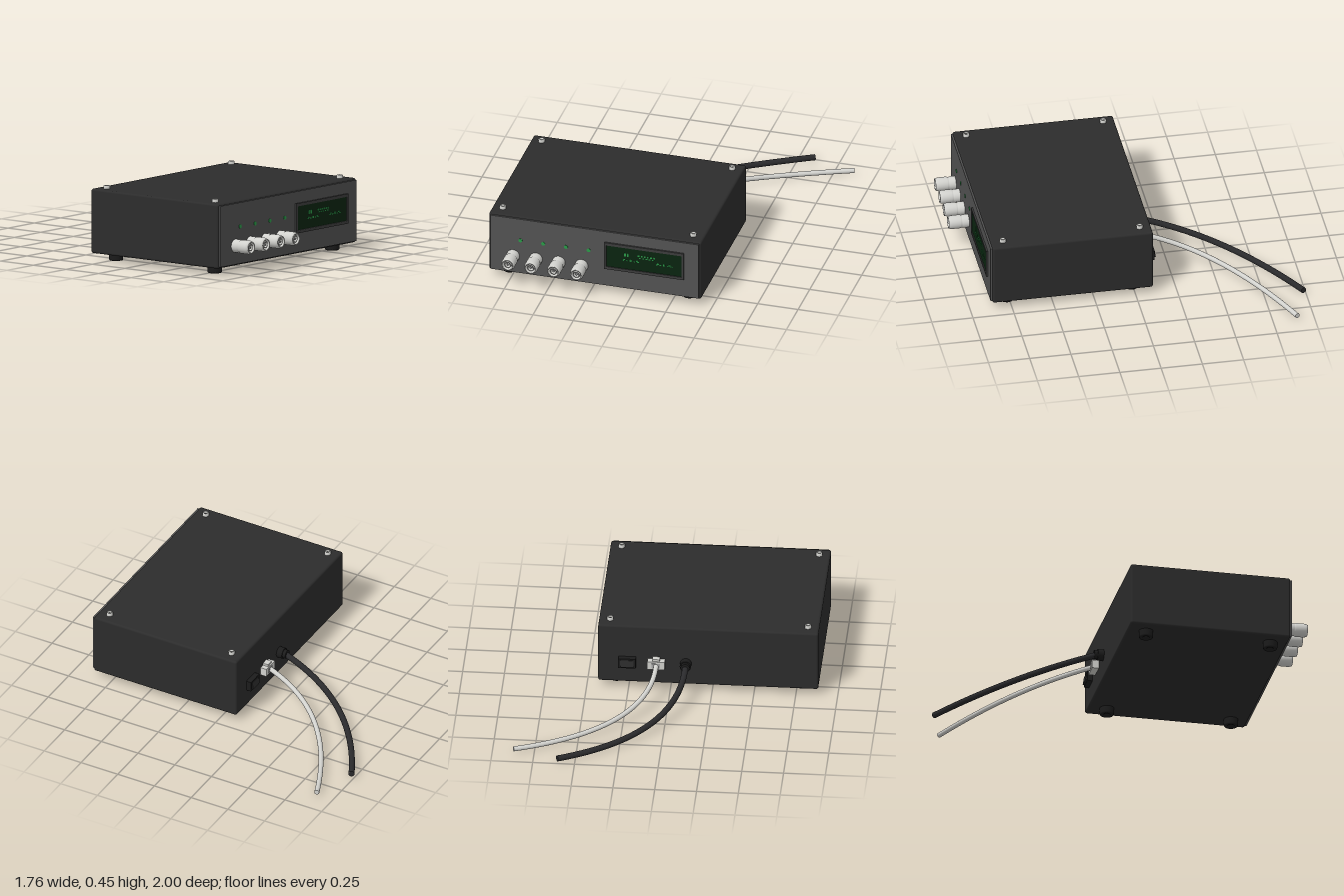
import * as THREE from 'three';
import { RoundedBoxGeometry } from 'three/addons/geometries/RoundedBoxGeometry.js';

const mat = (name, color, side = THREE.FrontSide) => {
  const m = new THREE.MeshStandardMaterial({ color, side });
  m.name = name;
  return m;
};

export function createModel() {
  const model = new THREE.Group();
  const caseDark = mat('caseDark', 0x2c2c2c);
  const panelGrey = mat('panelGrey', 0x525252);
  const bezelGrey = mat('bezelGrey', 0x3c3c3c);
  const rubber = mat('rubberBlack', 0x1c1c1c);
  const cableBlack = mat('cableBlack', 0x2a2a2c);
  const paleGrey = mat('paleGrey', 0xd2d2ce, THREE.DoubleSide);
  const metal = mat('metal', 0xa8a8a8, THREE.DoubleSide);
  const screenGreen = mat('screenGreen', 0x0a2410);
  const litGreen = mat('litGreen', 0x2a9a48);

  const add = (name, geo, material, x = 0, y = 0, z = 0, parent = model) => {
    const m = new THREE.Mesh(geo, material);
    m.name = name;
    m.position.set(x, y, z);
    parent.add(m);
    return m;
  };
  const box = (name, w, h, d, material, x, y, z, parent) =>
    add(name, new THREE.BoxGeometry(w, h, d), material, x, y, z, parent);
  // Lathe turned so that its axis points along +z
  const turned = (points, segments = 28) =>
    new THREE.LatheGeometry(points.map(p => new THREE.Vector2(p[0], p[1])), segments).rotateX(Math.PI / 2);
  const rod = (r, len, segments = 24) =>
    new THREE.CylinderGeometry(r, r, len, segments).rotateX(Math.PI / 2);

  // Case and front panel
  add('case', new RoundedBoxGeometry(1.316, 0.388, 0.972, 3, 0.013), caseDark, -0.226, 0.237, 0.381);
  box('frontPanel', 1.288, 0.368, 0.016, panelGrey, -0.226, 0.237, 0.870);

  // Display: frame with a recessed screen
  const frame = new THREE.Shape();
  frame.moveTo(-0.246, -0.09).lineTo(0.246, -0.09).lineTo(0.246, 0.09).lineTo(-0.246, 0.09).closePath();
  const opening = new THREE.Path();
  opening.moveTo(-0.233, -0.072).lineTo(-0.233, 0.072).lineTo(0.233, 0.072).lineTo(0.233, -0.072).closePath();
  frame.holes.push(opening);
  add('displayFrame', new THREE.ExtrudeGeometry(frame, { depth: 0.012, bevelEnabled: false }),
    bezelGrey, 0.083, 0.26, 0.876);
  box('screen', 0.466, 0.144, 0.006, screenGreen, 0.083, 0.26, 0.880);

  // Lit dots on the screen: two broken rows [start x, y, count, step, height]
  const dots = [
    [-0.035, 0.284, 2, 0.017, 0.022], [0.05, 0.288, 6, 0.019, 0.01], [0.058, 0.274, 5, 0.02, 0.006],
    [-0.046, 0.246, 5, 0.023, 0.006], [-0.04, 0.252, 3, 0.04, 0.008],
    [0.162, 0.246, 5, 0.023, 0.006], [0.17, 0.253, 3, 0.036, 0.008],
  ];
  for (const [x, y, n, step, h] of dots)
    for (let i = 0; i < n; i++) box('screenDot', 0.011, h, 0.002, litGreen, x + i * step, y, 0.884);

  // Four turned connectors, each with an indicator lamp above
  const shell = turned([
    [0.040, 0], [0.040, 0.035], [0.037, 0.038], [0.037, 0.046], [0.041, 0.05], [0.041, 0.105],
    [0.036, 0.122], [0.029, 0.122], [0.029, 0.085], [0, 0.085],
  ]);
  const sleeve = turned([[0.021, 0.084], [0.021, 0.116], [0.015, 0.116], [0.015, 0.084]]);
  for (let i = 0; i < 4; i++) {
    const x = -0.73 + i * 0.1415;
    const connector = new THREE.Group();
    connector.name = 'connector';
    connector.position.set(x, 0.166, 0.878);
    model.add(connector);
    add('connectorShell', shell, paleGrey, 0, 0, 0, connector);
    add('connectorSleeve', sleeve, paleGrey, 0, 0, 0, connector);
    add('connectorFloor', new THREE.CircleGeometry(0.029, 24), metal, 0, 0, 0.086, connector);
    add('connectorPin', rod(0.006, 0.03, 12), metal, 0, 0, 0.1, connector);
    add('indicatorLamp', rod(0.012, 0.01, 16), litGreen, -0.685 + i * 0.141, 0.277, 0.876);
  }

  // Lid screws with hexagonal sockets
  const head = new THREE.LatheGeometry(
    [[0.019, 0], [0.02, 0.016], [0.016, 0.021], [0.011, 0.021], [0.011, 0.008], [0, 0.008]]
      .map(p => new THREE.Vector2(...p)), 20);
  for (const x of [-0.818, 0.364]) for (const z of [-0.035, 0.795]) {
    add('lidScrew', head, paleGrey, x, 0.43, z);
    add('screwSocket', new THREE.CylinderGeometry(0.011, 0.011, 0.003, 6), rubber, x, 0.439, z);
  }

  // Rubber feet, hollow underneath
  const foot = new THREE.LatheGeometry(
    [[0, 0.015], [0.02, 0.015], [0.022, 0], [0.039, 0], [0.043, 0.006], [0.043, 0.046]]
      .map(p => new THREE.Vector2(...p)), 24);
  for (const x of [-0.784, 0.33]) for (const z of [0.008, 0.764]) add('foot', foot, rubber, x, 0, z);

  // Cables sweeping from the rear to the ground
  const v = (x, y, z) => new THREE.Vector3(x, y, z);
  const cable = (name, curve, r, material) => {
    add(name, new THREE.TubeGeometry(curve, 48, r, 14), material);
    const end = add(name + 'End', new THREE.CircleGeometry(r, 14), material);
    end.position.copy(curve.getPoint(1));
    end.lookAt(end.position.clone().add(curve.getTangent(1)));
  };
  cable('powerCable', new THREE.QuadraticBezierCurve3(
    v(-0.093, 0.188, -0.14), v(-0.093, 0.005, -0.64), v(0.605, 0.026, -0.985)), 0.018, cableBlack);
  cable('networkCable', new THREE.QuadraticBezierCurve3(
    v(0.082, 0.188, -0.13), v(0.082, 0.012, -0.59), v(0.873, 0.026, -0.897)), 0.015, paleGrey);

  // Strain relief for the power cable
  add('strainReliefCollar', rod(0.034, 0.04), rubber, -0.093, 0.188, -0.122);
  add('strainReliefTip', rod(0.027, 0.03), rubber, -0.093, 0.188, -0.147);

  // Network plug with its latch
  box('networkPlug', 0.104, 0.052, 0.042, paleGrey, 0.083, 0.186, -0.124);
  box('plugLatch', 0.044, 0.014, 0.036, paleGrey, 0.083, 0.219, -0.121);
  box('plugRecess', 0.05, 0.03, 0.004, metal, 0.083, 0.186, -0.145);

  // Power switch with a tilted rocker
  box('switchBody', 0.104, 0.064, 0.034, rubber, 0.257, 0.188, -0.12);
  box('switchRocker', 0.08, 0.044, 0.012, caseDark, 0.257, 0.188, -0.137).rotation.x = 0.15;

  return model;
}
